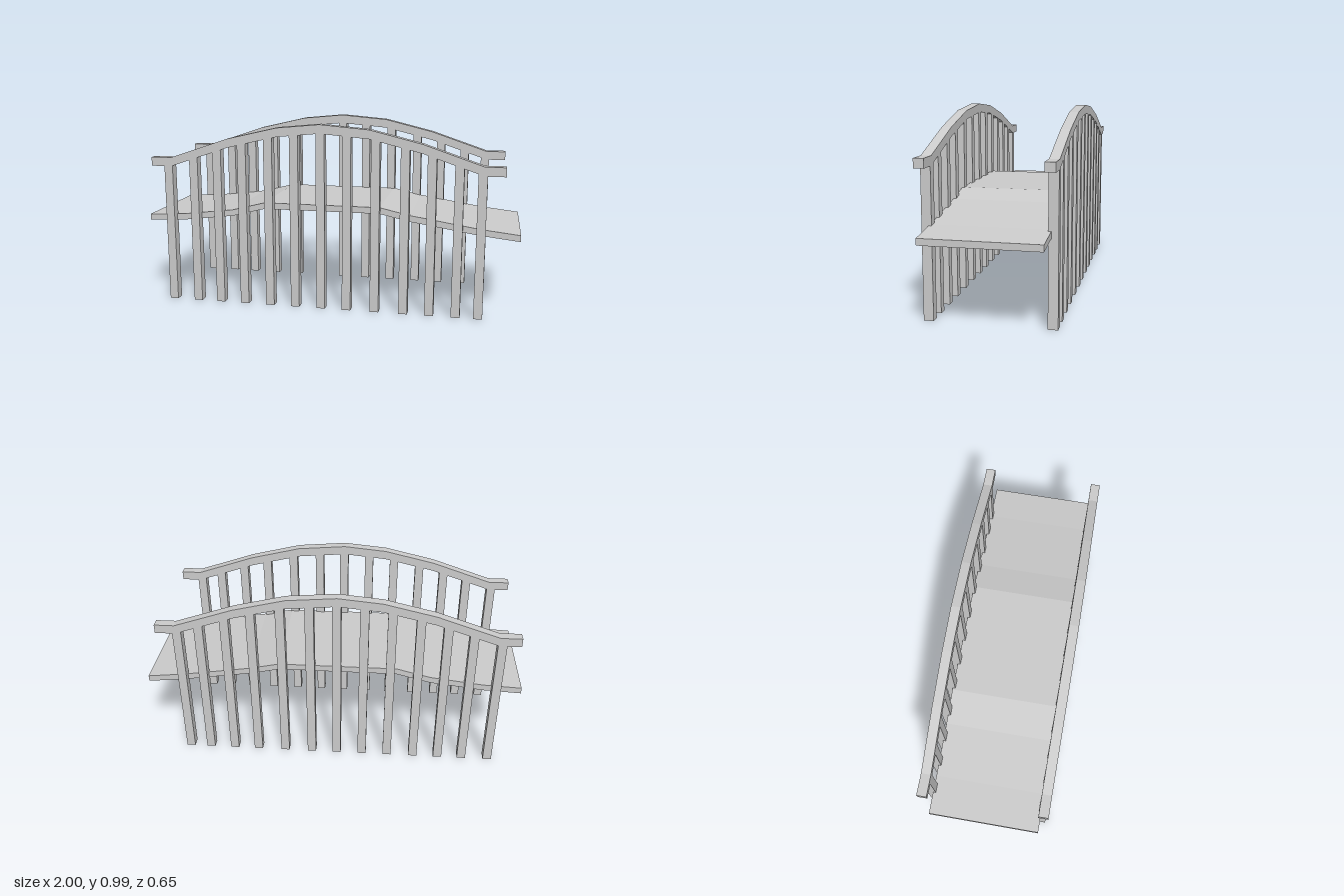
import * as THREE from 'three';

const material = new THREE.MeshStandardMaterial({ color: 0xcccccc, flatShading: true });

// Top edges as [x, y], left to right
const railTop = [[-0.96, 0.792], [-0.85, 0.792], [-0.53, 0.9], [-0.26, 0.963], [-0.03, 0.985],
  [0.23, 0.963], [0.5, 0.897], [0.81, 0.792], [0.915, 0.792]];
const deckTop = [[-1, 0.468], [-0.8, 0.478], [-0.52, 0.512], [-0.34, 0.558], [0.28, 0.558],
  [0.44, 0.523], [0.8, 0.467], [1, 0.445]];
const postX = [-0.865, -0.722, -0.59, -0.452, -0.308, -0.168, -0.027, 0.112, 0.262, 0.414, 0.55, 0.687, 0.802];

// Strip of constant height below a top edge, extruded across z
function beam(name, top, height, width) {
  const bottom = top.map(([x, y]) => [x, y - height]).reverse();
  const shape = new THREE.Shape([...top, ...bottom].map(([x, y]) => new THREE.Vector2(x, y)));
  const geometry = new THREE.ExtrudeGeometry(shape, { depth: width, bevelEnabled: false });
  geometry.translate(0, 0, -width / 2);
  const mesh = new THREE.Mesh(geometry, material);
  mesh.name = name;
  return mesh;
}

function heightAt(points, x) {
  const i = points.findIndex(([px]) => px >= x);
  const [x0, y0] = points[i - 1], [x1, y1] = points[i];
  return y0 + (y1 - y0) * (x - x0) / (x1 - x0);
}

// Handrail with its row of posts
function railing(name) {
  const group = new THREE.Group();
  group.name = name;
  group.add(beam('handrail', railTop, 0.047, 0.05));
  postX.forEach((x) => {
    const h = heightAt(railTop, x) - 0.03;
    const post = new THREE.Mesh(new THREE.BoxGeometry(0.046, h, 0.049), material);
    post.position.set(x, h / 2, 0);
    post.name = 'post';
    group.add(post);
  });
  return group;
}

export function createModel() {
  const model = new THREE.Group();
  model.name = 'footbridge';
  model.add(beam('deck', deckTop, 0.033, 0.58));
  for (const [name, z] of [['frontRailing', 0.301], ['backRailing', -0.3]]) {
    const side = railing(name);
    side.position.z = z;
    model.add(side);
  }
  return model;
}
